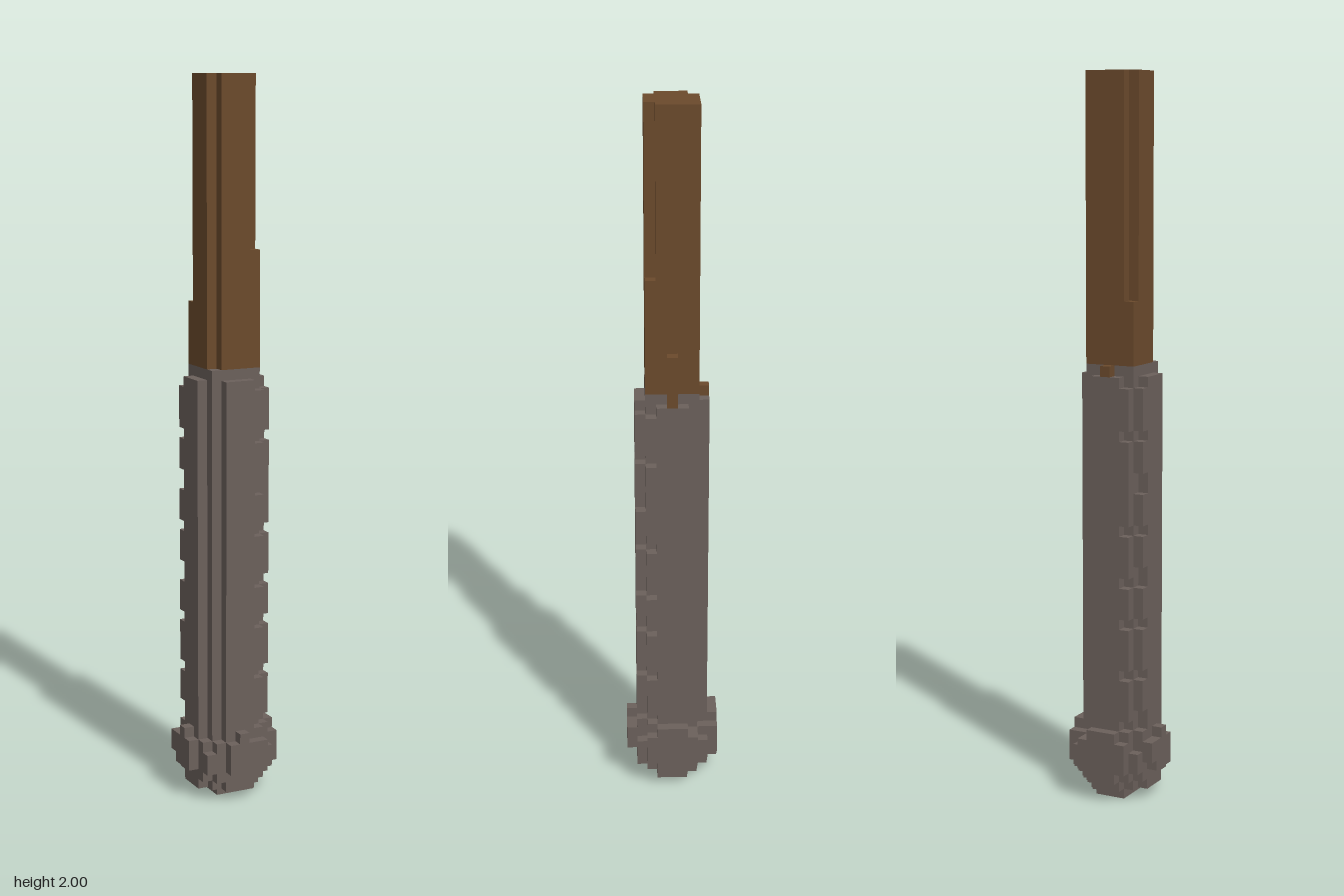
import * as THREE from 'three';
import { mergeGeometries } from 'three/addons/utils/BufferGeometryUtils.js';

const V = 2 / 69; // edge of one cell

// Block covering cells x0..x1 and z0..z1 (inclusive), from level y0 up to y1
function block(x0, x1, z0, z1, y0, y1) {
  const g = new THREE.BoxGeometry((x1 - x0 + 1) * V, (y1 - y0) * V, (z1 - z0 + 1) * V);
  g.translate(((x0 + x1) / 2) * V, ((y0 + y1) / 2) * V, ((z0 + z1) / 2) * V);
  return g;
}

// Block plus its twin mirrored across the diagonal (x, z) -> (-z, -x)
function pair(x0, x1, z0, z1, y0, y1) {
  return [block(x0, x1, z0, z1, y0, y1), block(-z1, -z0, -x1, -x0, y0, y1)];
}

// Eight-sided stepped column, 7 cells across
function octagon(y0, y1) {
  return [block(-1, 1, -3, 3, y0, y1), block(-3, 3, -1, 1, y0, y1), block(-2, 2, -2, 2, y0, y1)];
}

export function createModel() {
  const model = new THREE.Group();
  const wood = new THREE.MeshStandardMaterial({ color: 0x6b4a2c });
  wood.name = 'brown wood';
  const wrap = new THREE.MeshStandardMaterial({ color: 0x6b605b });
  wrap.name = 'grey wrap';

  const add = (name, parts, material) => {
    const mesh = new THREE.Mesh(mergeGeometries(parts), material);
    mesh.name = name;
    model.add(mesh);
  };

  // Wooden shaft with uneven corners
  add('shaft', [
    block(-1, 1, -2, 2, 42, 69),
    block(-2, 2, -1, 1, 42, 69),
    block(2, 2, -2, -2, 42, 69),
    block(2, 2, 2, 2, 42, 53),
    block(-2, -2, -2, -2, 42, 48),
  ], wood);

  // Splinters running down into the sleeve
  add('splinters', [block(3, 3, 0, 0, 41, 46), block(0, 0, -3, -3, 41, 42)], wood);

  // Sleeve, with raised collar
  add('sleeve', [...octagon(6, 41), block(-2, 2, -2, 2, 41, 42)], wrap);

  // Ridges on two opposite corners, broken by notches
  const deep = [7, 12, 17, 21, 26, 35, 40];
  const shallow = [8, 22, 30, 31];
  const ridge = [];
  for (let k = 6; k < 41; k++) {
    if (deep.includes(k)) continue;
    ridge.push(...pair(3, 3, 2, 2, k, k + 1));
    if (!shallow.includes(k)) ridge.push(...pair(2, 2, 3, 3, k, k + 1));
  }
  add('notchedRidges', ridge, wrap);

  // Rounded pommel: stepped base, body and four side bulges
  add('pommelBase', [
    block(-1, 2, -1, 1, 0, 1),
    block(-1, 1, -2, 1, 0, 1),
    ...octagon(1, 2),
  ], wrap);
  add('pommelBody', [
    block(-3, 3, -2, 2, 2, 6),
    block(-2, 2, -3, 3, 2, 6),
    block(-3, 3, -3, 3, 3, 5),
    ...octagon(5, 7),
  ], wrap);
  add('pommelBulges', [
    ...pair(4, 4, -1, 1, 2, 7),
    ...pair(4, 4, -2, 2, 3, 6),
    ...pair(-4, -4, -1, 1, 3, 6),
    ...pair(-4, -4, -2, 1, 4, 6),
    ...pair(-4, -4, 0, 0, 6, 7),
  ], wrap);

  return model;
}
